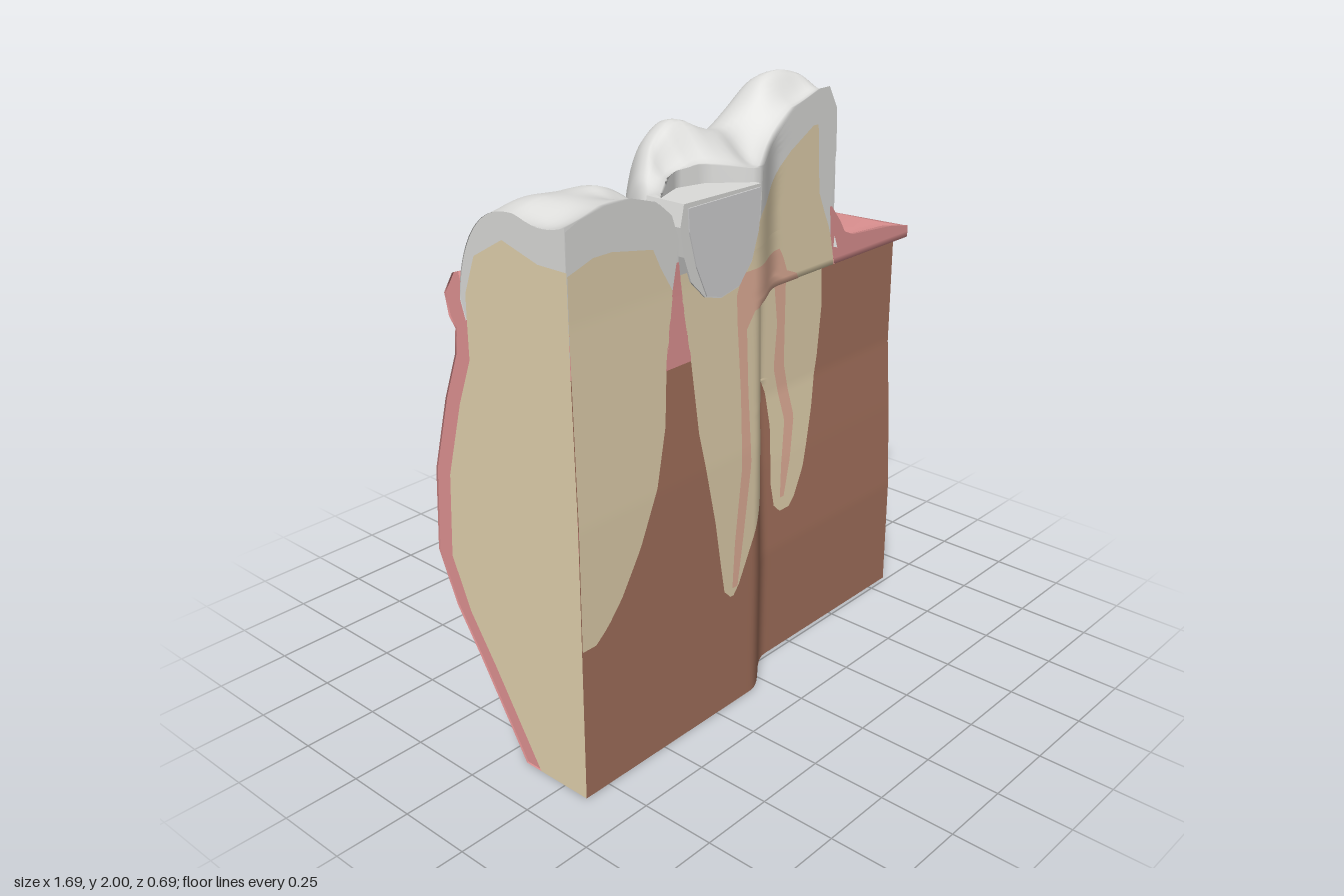
import * as THREE from 'three';

const mat = (name, color) => {
  const m = new THREE.MeshStandardMaterial({ color, side: THREE.DoubleSide });
  m.name = name;
  return m;
};
const W = 0.845;

// Piecewise-linear lookup in a list of [key, value], and a softened one
function at(p, t) {
  if (t <= p[0][0]) return p[0][1];
  for (let i = 1; i < p.length; i++) {
    if (t <= p[i][0]) {
      const [a, va] = p[i - 1], [b, vb] = p[i];
      return va + (vb - va) * (t - a) / (b - a);
    }
  }
  return p[p.length - 1][1];
}
const soft = (p, t) => [-0.03, -0.015, 0, 0.015, 0.03].reduce((s, d) => s + at(p, t + d), 0) / 5;

// Depth of the cut face: it steps back from left to right
const cutLeft = [[0, 0.344], [0.9, 0.344], [1.5, 0.33]];
const cutRight = [[0, 0.235], [0.4, 0.235], [0.72, 0.218], [0.96, 0.2], [1.35, 0.2], [1.36, 0.254]];
function cutZ(x, y) {
  const t = THREE.MathUtils.smoothstep(x, -0.08, 0.13);
  return at(cutLeft, y) * (1 - t) + at(cutRight, y) * t;
}

// Surface from a list of rows of points
function sheet(rows) {
  const n = rows[0].length, idx = [];
  for (let i = 0; i + 1 < rows.length; i++) {
    for (let j = 0; j + 1 < n; j++) {
      const a = i * n + j, b = a + n;
      idx.push(a, a + 1, b, b, a + 1, b + 1);
    }
  }
  const g = new THREE.BufferGeometry();
  g.setAttribute('position', new THREE.Float32BufferAttribute(rows.flat(2), 3));
  g.setIndex(idx);
  g.computeVertexNormals();
  return g;
}

// Panel on the cut face between a left and a right edge, both lists of [y, x]
function panel(left, right, layer, cols = 36) {
  const y0 = Math.min(left[0][0], right[0][0]);
  const y1 = Math.max(left[left.length - 1][0], right[right.length - 1][0]);
  const inside = (y) => y > y0 && y < y1;
  const ys = new Set([y0, y1, ...[1.35].filter(inside)]);
  for (let k = 1; k < 101; k++) if (inside(k / 50)) ys.add(k / 50);
  return sheet([...ys].sort((a, b) => a - b).map((y) => {
    const a = at(left, y), b = at(right, y), row = [];
    for (let j = 0; j <= cols; j++) {
      const x = a + (b - a) * j / cols;
      row.push([x, y, cutZ(x, y) + layer * 0.003]);
    }
    return row;
  }));
}

// Flat end cap at x from outline points [z, y]
function endCap(x, pts) {
  const g = new THREE.ShapeGeometry(new THREE.Shape(pts.map(([z, y]) => new THREE.Vector2(x > 0 ? -z : z, y))));
  g.rotateY(x > 0 ? Math.PI / 2 : -Math.PI / 2);
  return g.translate(x, 0, 0);
}

// Plan outlines [x, z] and heights [x, y] of the two crowns
const rightCrown = {
  x0: -0.42, x1: 0.42,
  back: [[-0.42, 0.24], [-0.4, 0.14], [-0.35, 0.04], [-0.25, -0.05], [-0.1, -0.095], [0.05, -0.08], [0.2, -0.045], [0.3, 0.02], [0.38, 0.12], [0.42, 0.25]],
  ridge: [[-0.42, 1.6], [-0.4, 1.72], [-0.33, 1.8], [-0.24, 1.88], [-0.17, 1.92], [-0.08, 1.87], [0.03, 1.85], [0.12, 1.91], [0.2, 1.99], [0.28, 2.005], [0.36, 1.97], [0.4, 1.89], [0.42, 1.6]],
  front: [[-0.42, 1.6], [-0.4, 1.74], [-0.33, 1.79], [-0.2, 1.8], [-0.06, 1.78], [0, 1.78], [0.1, 1.83], [0.2, 1.91], [0.33, 1.95], [0.38, 1.94], [0.41, 1.85], [0.42, 1.6]],
  frontZ: (x) => x < -0.06 ? at([[-0.42, 0.26], [-0.38, 0.24], [-0.28, 0.2], [-0.18, 0.22], [-0.1, 0.29], [-0.06, 0.325]], x) : cutZ(x, 1.5) - 0.003,
};
const leftCrown = {
  x0: -W, x1: -0.41,
  back: [[-W, -0.11], [-0.75, -0.095], [-0.6, -0.07], [-0.52, -0.01], [-0.46, 0.08], [-0.42, 0.2], [-0.41, 0.3]],
  ridge: [[-W, 1.77], [-0.75, 1.8], [-0.62, 1.79], [-0.54, 1.8], [-0.46, 1.74], [-0.42, 1.68], [-0.41, 1.6]],
  front: [[-W, 1.77], [-0.7, 1.8], [-0.6, 1.8], [-0.5, 1.77], [-0.44, 1.72], [-0.41, 1.62]],
  frontZ: () => 0.327,
};

// Back-to-front slice of a crown: wall, cusp, groove, then down behind the cut
function crownSlice(c, x) {
  const zb = at(c.back, x), zf = Math.max(c.frontZ(x), zb), r = soft(c.ridge, x), f = at(c.front, x);
  const row = [[x, 1.42, zb + 0.02]], peak = 0.56;
  for (let i = 0; i <= 24; i++) {
    const k = (i / 24) ** 1.5;
    let y;
    if (k < peak) y = 1.48 + (r - 1.48) * (1 - (1 - k / peak) ** 2.6) ** 0.57;
    else {
      const t = (k - peak) / (1 - peak);
      y = r + (f - r) * t * t * (3 - 2 * t) - 0.018 * Math.sin(Math.PI * t) * (1 + 0.7 * Math.cos(x * 24));
    }
    row.push([x, y, zb + (zf - zb) * k]);
  }
  row.push([x, 1.4, zf]);
  return row;
}
function crown(c) {
  const rows = [];
  for (let i = 0; i <= 56; i++) {
    const e = (1 - Math.cos(Math.PI * i / 56)) / 2;
    rows.push(crownSlice(c, c.x0 + (c.x1 - c.x0) * e));
  }
  return sheet(rows);
}

// Gum slice from the bottom edge up the back and over the collar
const gumShift = [[-W, 0.058], [-0.6, 0.045], [-0.3, 0.05], [0, 0.032], [0.4, 0.008], [W, 0]];
const collarZ = [[-W, -0.18], [-0.65, -0.15], [-0.5, -0.08], [-0.4, 0.02], [-0.3, -0.08], [-0.1, -0.135], [0.1, -0.115], [0.25, -0.05], [0.36, 0.05], [0.43, 0.15], [0.48, 0.235], [W, 0.235]];
const collarTop = [[-W, 1.56], [0.4, 1.56], [0.45, 1.5], [0.48, 1.45], [0.55, 1.44], [0.7, 1.43], [W, 1.4]];
const collarTuck = [[0.36, 0.015], [0.48, -0.1]];
const gumFoot = (x) => -0.0825 - 0.1625 * x / W;
function gumSlice(x) {
  const s = at(gumShift, x), c = soft(collarZ, x), h = at(collarTop, x), d = h - 1.39;
  const edge = x < -0.41 ? at(leftCrown.back, x) : x < 0.42 ? at(rightCrown.back, x) : 0.256;
  const e = Math.max(edge, c), u = (W - x) / (2 * W);
  return [[gumFoot(x), 0], [-0.33 + 0.22 * u, 0.3], [-0.342 + 0.13 * u, 0.45], [-0.345 + s, 0.62], [-0.33 + s, 0.9], [-0.28 + s * 1.3, 1.15], [-0.23 + s * 1.4, 1.3],
    [Math.min(-0.18 + s, c + 0.04), 1.385], [c + at(collarTuck, x), 1.39 + d * 0.15], [c, 1.39 + d * 0.55], [c + (e - c) * 0.3, 1.39 + d * 0.75],
    [c + (e - c) * 0.6, 1.39 + d * 0.95], [e, h], [Math.min(e + 0.005, 0.256), h - 0.03]];
}

export function createModel() {
  const group = new THREE.Group();
  const gum = mat('gum pink', 0xe09393), enamel = mat('enamel white', 0xdcdcda), dentine = mat('dentine beige', 0xe3d2ae);
  const bone = mat('bone brown', 0xa5725d), pulp = mat('pulp pink', 0xe4b19a), filling = mat('filling grey', 0xd5d5d6);
  const add = (name, geo, m) => {
    const mesh = new THREE.Mesh(geo, m);
    mesh.name = name;
    group.add(mesh);
  };

  // Jaw bone on the cut face
  add('boneFace', panel([[0, -W], [1.35, -W]], [[0, W], [1.35, W]], 0, 120), bone);

  // Left tooth on the cut face
  add('leftEnamelFace', panel([[1.48, -W], [1.77, -W], [1.8, -0.7]], [[1.48, -0.445], [1.64, -0.41], [1.72, -0.44], [1.77, -0.5], [1.8, -0.6]], 0), enamel);
  add('leftDentineFace', panel([[0.51, -W], [1.64, -W], [1.67, -0.75]],
    [[0.51, -0.79], [0.55, -0.74], [0.62, -0.68], [0.75, -0.6], [0.92, -0.525], [1.1, -0.485], [1.27, -0.475], [1.5, -0.44], [1.58, -0.49], [1.64, -0.52], [1.67, -0.68]], 1), dentine);

  // Right tooth: enamel, body, crown core and two roots
  add('rightEnamelFace', panel([[1.45, -0.06], [1.78, -0.03], [1.83, 0.1], [1.91, 0.2], [1.95, 0.33]], [[1.45, 0.4], [1.55, 0.395], [1.75, 0.418], [1.88, 0.41], [1.95, 0.37]], 0), enamel);
  add('rightDentineFace', panel([[1.03, -0.34], [1.27, -0.37], [1.45, -0.4], [1.54, -0.41]],
    [[1.03, 0.418], [1.2, 0.435], [1.32, 0.43], [1.45, 0.402], [1.5, 0.385], [1.54, 0.365]], 1, 60), dentine);
  add('rightCrownCore', panel([[1.54, -0.09], [1.6, -0.075], [1.64, -0.04], [1.66, 0], [1.72, 0.1], [1.78, 0.18], [1.84, 0.29]],
    [[1.54, 0.365], [1.62, 0.33], [1.7, 0.325], [1.84, 0.315]], 1), dentine);
  add('nearRoot', panel([[0.41, -0.19], [0.44, -0.22], [0.55, -0.24], [0.7, -0.265], [0.9, -0.31], [1.03, -0.34]],
    [[0.41, -0.175], [0.44, -0.15], [0.5, -0.12], [0.62, -0.06], [0.75, 0.005], [0.9, 0.03], [1, 0.04], [1.03, 0.07]], 1), dentine);
  add('farRoot', panel([[0.53, 0.2], [0.56, 0.17], [0.65, 0.155], [0.85, 0.162], [0.97, 0.145], [1.02, 0.12], [1.03, 0.09]],
    [[0.53, 0.25], [0.56, 0.28], [0.65, 0.33], [0.85, 0.385], [1.03, 0.418]], 1), dentine);

  // Pulp chamber and canals
  add('pulpChamber', panel([[1.35, -0.165], [1.42, -0.165], [1.48, -0.14]], [[1.35, 0.235], [1.38, 0.22], [1.4, 0.17], [1.45, 0.15], [1.48, 0.13]], 2), pulp);
  add('nearCanal', panel([[0.44, -0.185], [0.6, -0.175], [0.85, -0.145], [1.1, -0.15], [1.35, -0.165]], [[0.44, -0.16], [0.6, -0.135], [0.85, -0.1], [1.1, -0.115], [1.3, -0.12], [1.35, -0.08]], 2, 8), pulp);
  add('farCanal', panel([[0.58, 0.2], [0.7, 0.21], [0.85, 0.235], [1.05, 0.182], [1.2, 0.195], [1.35, 0.175]], [[0.58, 0.22], [0.7, 0.255], [0.85, 0.285], [1.05, 0.235], [1.35, 0.235]], 2, 8), pulp);

  // Gum on the cut face: between the teeth and beside the right tooth
  add('gumBetweenTeeth', panel([[1.27, -0.478], [1.5, -0.442], [1.58, -0.425]], [[1.27, -0.368], [1.45, -0.398], [1.58, -0.415]], 1, 8), gum);
  add('gumEdgeFace', panel([[1.35, 0.428], [1.45, 0.4], [1.56, 0.39]], [[1.35, W], [1.4, W], [1.43, 0.7], [1.44, 0.52], [1.46, 0.475], [1.5, 0.45], [1.56, 0.4]], 1), gum);

  // Crowns
  add('rightCrown', crown(rightCrown), enamel);
  add('leftCrown', crown(leftCrown), enamel);

  // Filling set into the right crown, with an inner plate
  const slab = (pts, depth, z) => new THREE.ExtrudeGeometry(
    new THREE.Shape(pts.map(([x, y]) => new THREE.Vector2(x, y))), { depth, bevelEnabled: false }).translate(0, 0, z);
  add('fillingBowl', slab([[-0.4, 1.745], [-0.415, 1.68], [-0.4, 1.59], [-0.37, 1.51], [-0.31, 1.45], [-0.24, 1.43], [-0.16, 1.445], [-0.1, 1.51], [-0.07, 1.6], [-0.058, 1.7], [-0.065, 1.74]], 0.142, 0.197), enamel);
  add('fillingPlate', slab([[-0.385, 1.73], [-0.38, 1.66], [-0.35, 1.55], [-0.305, 1.452], [-0.24, 1.435], [-0.16, 1.45], [-0.105, 1.515], [-0.075, 1.6], [-0.068, 1.73]], 0.004, 0.339), filling);

  // Gum skin over the back and top
  const slices = [];
  for (let i = 0; i <= 130; i++) {
    const x = -W + 2 * W * i / 130;
    slices.push(gumSlice(x).map(([z, y]) => [x, y, z]));
  }
  add('gumSkin', sheet(slices), gum);

  // Right end: gum rim with the bone core in front
  const frontEdge = (x, top) => [top, 1.36, 1.35, 0.96, 0.72, 0.4, 0].filter((y) => y <= top).map((y) => [cutZ(x, y), y]);
  add('rightEndGum', endCap(W - 0.004, [...gumSlice(W).slice(0, 8), ...frontEdge(W, 1.4)]), gum);
  add('rightEndCore', endCap(W, [[-0.16, 0], [-0.235, 0.3], [-0.262, 0.6], [-0.255, 0.9], [-0.24, 1.05], [-0.19, 1.22], [-0.145, 1.32], [-0.12, 1.335], ...frontEdge(W, 1.335)]), dentine);

  // Left end: gum rim, enamel edge and dentine core
  add('leftEndGum', endCap(-W + 0.006, [...gumSlice(-W).slice(0, 13), ...frontEdge(-W, 1.56)]), gum);
  add('leftEndEnamel', endCap(-W + 0.003, crownSlice(leftCrown, -W).map(([, y, z]) => [z, y])), enamel);
  add('leftEndCore', endCap(-W, [...gumSlice(-W).slice(0, 7).map(([z, y]) => [z + 0.065, y]),
    [-0.085, 1.4], [-0.085, 1.5], [-0.04, 1.62], [0.08, 1.69], [0.22, 1.65], ...frontEdge(-W, 1.65)]), dentine);

  // Underside in three strips: bone, core and gum
  const boneBack = (x) => cutZ(x, 0) - 0.09;
  const coreBack = (x) => gumFoot(x) + 0.075;
  const strip = (za, zb) => {
    const rows = [];
    for (let i = 0; i <= 60; i++) {
      const x = -W + 2 * W * i / 60;
      rows.push([[x, 0, za(x)], [x, 0, zb(x)]]);
    }
    return sheet(rows);
  };
  add('boneUnderside', strip((x) => cutZ(x, 0), boneBack), bone);
  add('coreUnderside', strip(boneBack, coreBack), dentine);
  add('gumUnderside', strip(coreBack, gumFoot), gum);
  return group;
}
